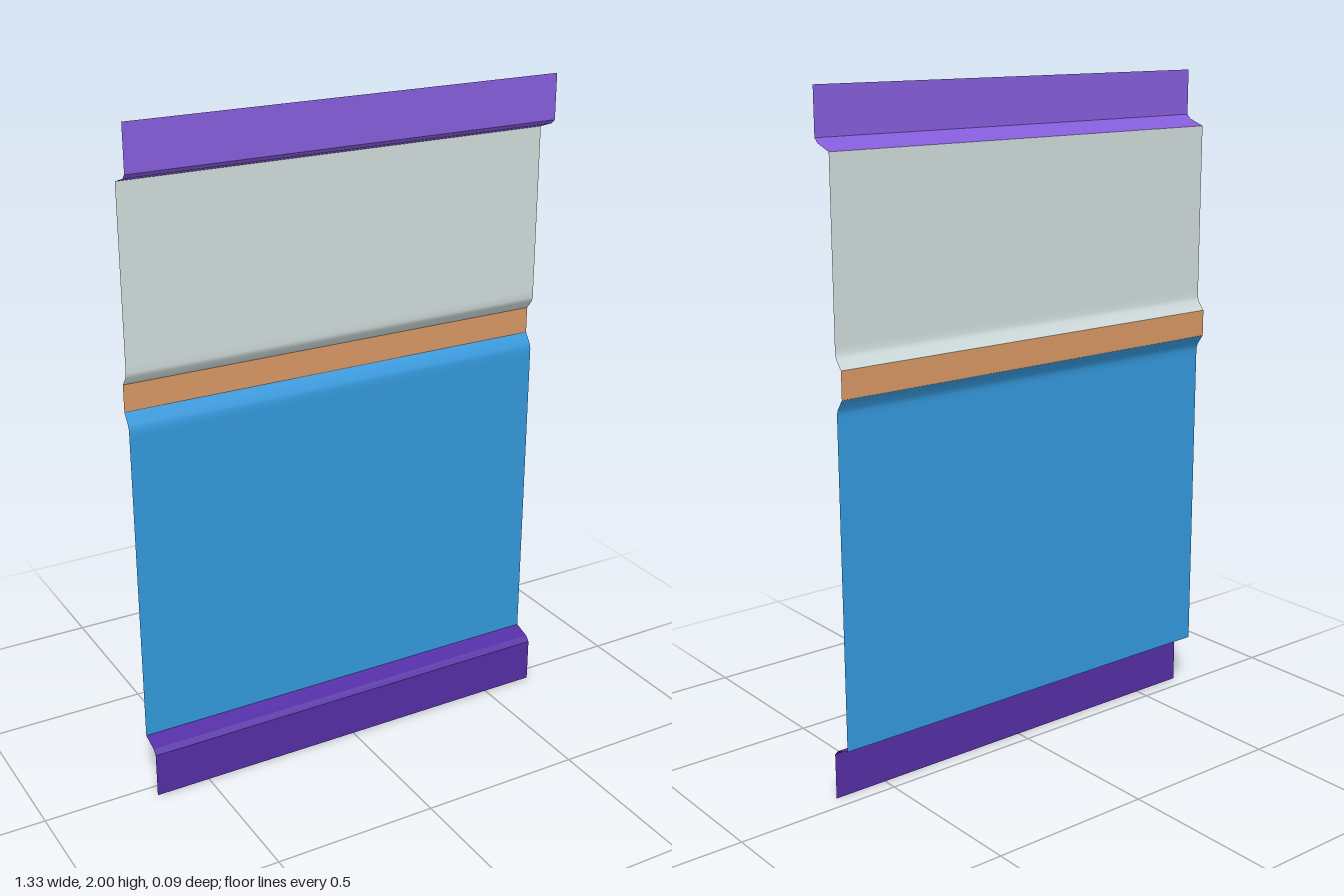
import * as THREE from 'three';

const WIDTH = 1.334;

function paint(name, color, flatShading = false) {
  const m = new THREE.MeshStandardMaterial({ color, side: THREE.DoubleSide, flatShading });
  m.name = name;
  return m;
}

// Sheet swept along x from a [y, z] profile that runs top to bottom
function sheet(name, material, profile) {
  const geo = new THREE.PlaneGeometry(WIDTH, 1, 1, profile.length - 1);
  const pos = geo.attributes.position;
  profile.forEach(([y, z], row) => {
    for (let c = 0; c < 2; c++) {
      const i = row * 2 + c;
      pos.setXYZ(i, pos.getX(i), y, z);
    }
  });
  geo.computeVertexNormals();
  const mesh = new THREE.Mesh(geo, material);
  mesh.name = name;
  return mesh;
}

export function createModel() {
  const group = new THREE.Group();
  group.name = 'foldedPanel';
  const front = 0.046, mid = -0.02, back = -0.046;

  group.add(
    // Top lip, stepping back to the panel
    sheet('topLip', paint('violet', 0x855dda, true),
      [[2, front], [1.866, front], [1.853, 0.032], [1.835, mid]]),
    // Upper panel, curving back into the groove
    sheet('upperPanel', paint('paleGrey', 0xcddad9),
      [[1.835, mid], [1.33, mid], [1.31, mid], [1.297, -0.024], [1.27, back]]),
    // Recessed band
    sheet('grooveBand', paint('tan', 0xd79664),
      [[1.27, back], [1.19, back]]),
    // Lower panel, curving forward out of the groove
    sheet('lowerPanel', paint('blue', 0x3498db),
      [[1.19, back], [1.16, -0.025], [1.145, mid], [1.125, mid], [0.17, mid]]),
    // Bottom lip, stepping forward
    sheet('bottomLip', paint('deepPurple', 0x542ea4, true),
      [[0.17, mid], [0.153, 0.032], [0.138, front], [0, front]]),
  );
  return group;
}
